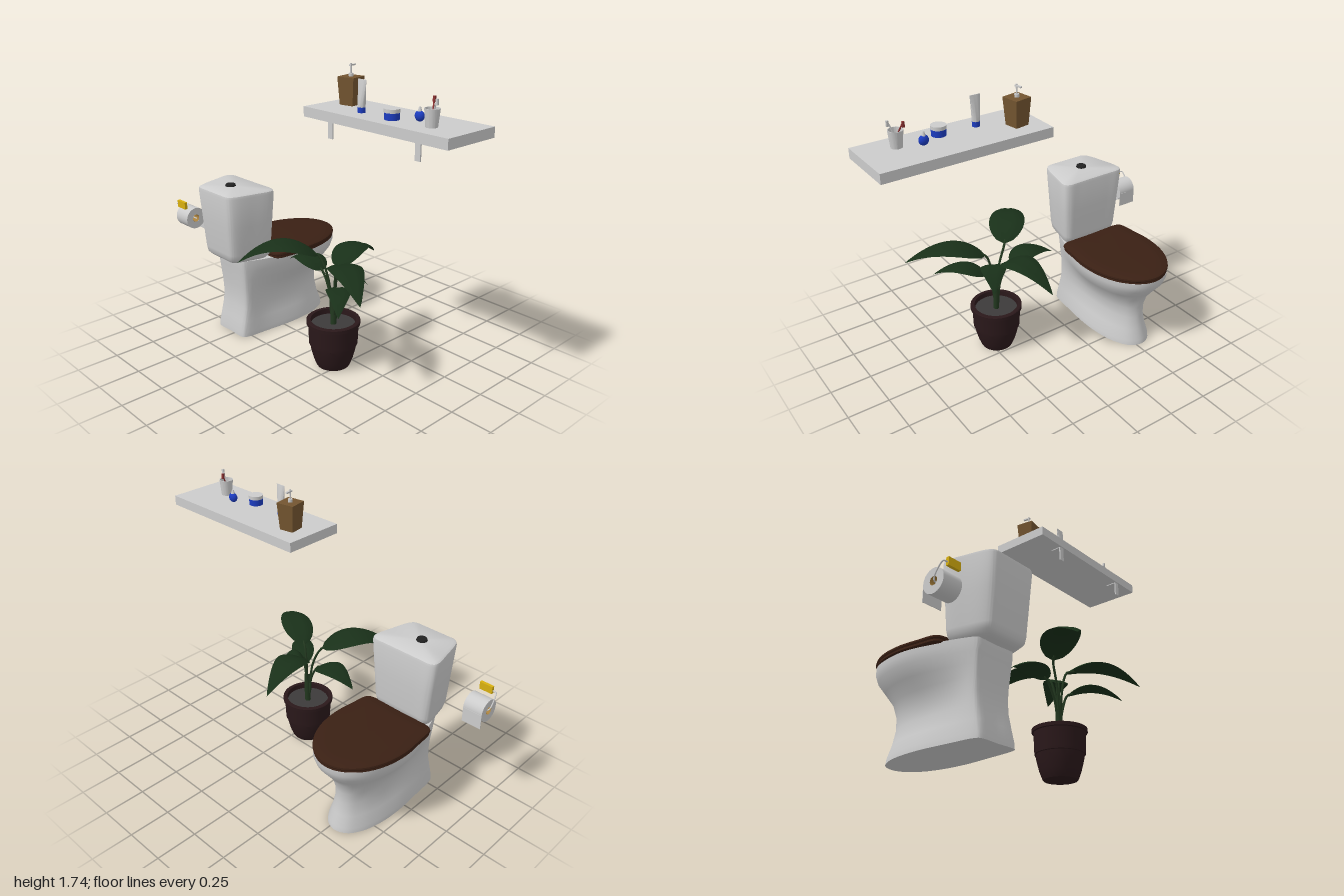
import * as THREE from 'three';
import { toCreasedNormals } from 'three/addons/utils/BufferGeometryUtils.js';

const V = (x, y, z) => new THREE.Vector3(x, y, z);
const mat = (color, side = THREE.FrontSide) => new THREE.MeshStandardMaterial({ color, side });
const GREY = mat(0xcccccc), GREY2 = mat(0xcccccc, THREE.DoubleSide), LID = mat(0x3a2014);
const POT = mat(0x2a181a), SOIL = mat(0x3c3a3a), LEAF = mat(0x193019, THREE.DoubleSide), STEM = mat(0x22381f);
const WOOD = mat(0x735530), BLUE = mat(0x1c3cc0), YELLOW = mat(0xd8b010), DARK = mat(0x222222);
const RED = mat(0x8a3030), CARD = mat(0xa8803c, THREE.DoubleSide);

function add(parent, name, geo, material, x = 0, y = 0, z = 0) {
  const m = new THREE.Mesh(geo, material);
  m.name = name;
  m.position.set(x, y, z);
  parent.add(m);
  return m;
}
const box = (w, h, d) => new THREE.BoxGeometry(w, h, d);
const cyl = (rt, rb, h, n = 32) => new THREE.CylinderGeometry(rt, rb, h, n);
const tube = (pts, r, n = 16) => new THREE.TubeGeometry(new THREE.CatmullRomCurve3(pts), n, r, 8);
const lathe = (pts) => toCreasedNormals(
  new THREE.LatheGeometry(pts.map(([r, y]) => new THREE.Vector2(r, y)), 40), 0.6);

// Closed skin over stacked loops, each running counter-clockwise seen from above
function loft(rows, crease = 0.7) {
  const centre = (row) => {
    const c = row.reduce((s, p) => s.add(p), V(0, 0, 0)).divideScalar(row.length);
    return row.map(() => c);
  };
  const all = [centre(rows[0]), ...rows, centre(rows[rows.length - 1])];
  const pos = [], tri = (a, b, c) => {
    if (a.distanceTo(b) > 1e-6 && b.distanceTo(c) > 1e-6 && a.distanceTo(c) > 1e-6)
      for (const p of [a, b, c]) pos.push(p.x, p.y, p.z);
  };
  for (let i = 0; i < all.length - 1; i++)
    for (let j = 0, n = rows[0].length; j < n; j++) {
      const k = (j + 1) % n, a = all[i][j], b = all[i][k], c = all[i + 1][k], d = all[i + 1][j];
      tri(a, b, c);
      tri(a, c, d);
    }
  const g = new THREE.BufferGeometry();
  g.setAttribute('position', new THREE.Float32BufferAttribute(pos, 3));
  return toCreasedNormals(g, crease);
}

// Mirrored smooth loop from half a plan, listed front to back as [x, half width]
function loop(half, y) {
  const pts = half.map(([x, w]) => V(x, y, -w));
  for (let i = half.length - 2; i > 0; i--) pts.push(V(half[i][0], y, half[i][1]));
  return new THREE.CatmullRomCurve3(pts, true).getPoints(80).slice(0, 80);
}

// Plan with a blunt back and an oval front
function oval(y, xb, xf, wb, wm, e = 1) {
  const xm = (xb + xf) / 2 + (e === 1 ? -0.06 : 0), half = [];
  for (let a = 0; a <= 90; a += 22.5) {
    const t = THREE.MathUtils.degToRad(a);
    half.push([xm + (xf - xm) * Math.max(0, Math.cos(t)) ** e, wm * Math.sin(t) ** e]);
  }
  half.push([(xm + xb) / 2, wm * 0.6 + wb * 0.4], [xb + 0.02, wb], [xb, wb * 0.88], [xb, 0]);
  return loop(half, y);
}

function makeToilet() {
  const g = new THREE.Group();
  g.name = 'toilet';
  g.position.z = -0.535;
  const bowl = [
    [0, -0.305, 0.43, 0.135, 0.165], [0.03, -0.303, 0.425, 0.135, 0.163], [0.1, -0.288, 0.4, 0.13, 0.142],
    [0.18, -0.272, 0.386, 0.125, 0.123], [0.25, -0.267, 0.384, 0.125, 0.129], [0.32, -0.27, 0.402, 0.128, 0.157],
    [0.38, -0.275, 0.445, 0.133, 0.2], [0.44, -0.28, 0.492, 0.138, 0.235], [0.48, -0.285, 0.508, 0.14, 0.245],
    [0.512, -0.285, 0.508, 0.14, 0.247]];
  add(g, 'bowl', loft(bowl.map((r) => oval(...r, 0.9))), GREY);

  // Seat ring below, domed lid above
  const plate = (d, y) => oval(y, -0.112 + d, 0.515 - d, 0.235 - d, 0.26 - d);
  add(g, 'seat', loft([plate(0.012, 0.505), plate(0.004, 0.511), plate(0.006, 0.523)]), LID);
  add(g, 'lid', loft([plate(0.004, 0.523), plate(0, 0.53), plate(0.002, 0.54), plate(0.015, 0.547),
    plate(0.08, 0.55)]), LID);

  // Tapering tank, wider at its front
  const tank = [[0.508, 0.045], [0.515, 0.02], [0.535, 0.004], [0.57, 0], [0.75, 0], [0.935, 0], [0.95, 0.004], [0.958, 0.016]];
  add(g, 'tank', loft(tank.map(([y, d]) => {
    const f = (y - 0.51) / 0.448, L = (a, b) => a + (b - a) * f;
    const xb = L(-0.372, -0.405) + d, xf = L(-0.107, -0.092) - d, wf = L(0.187, 0.222) - d, wb = L(0.145, 0.168) - d;
    return loop([[xf, 0], [xf, wf * 0.5], [xf - 0.002, wf * 0.88], [xf - 0.025, wf], [(xf + xb) / 2, wf * 0.56 + wb * 0.46],
      [xb + 0.03, wb], [xb + 0.004, wb * 0.85], [xb, wb * 0.45], [xb, 0]], y);
  })), GREY);
  add(g, 'flushButton', cyl(0.028, 0.033, 0.014), DARK, -0.255, 0.963, -0.015);
  return g;
}

// Drooping blade along a curve, folded slightly along its midrib
function leafGeometry(base, mid, tip, width) {
  const ctrl = mid.clone().multiplyScalar(2).sub(base.clone().add(tip).multiplyScalar(0.5));
  const curve = new THREE.QuadraticBezierCurve3(base, ctrl, tip);
  const side = V(-(tip.z - base.z), 0, tip.x - base.x).normalize();
  const g = new THREE.PlaneGeometry(1, 1, 6, 18), p = g.attributes.position;
  for (let i = 0; i < p.count; i++) {
    const u = p.getX(i) * 2, t = p.getY(i) + 0.5;
    const w = width * Math.sin(Math.PI * t ** 0.72) ** 0.85 * (1 - 0.15 * t);
    const q = curve.getPoint(t).addScaledVector(side, u * (w || 0));
    p.setXYZ(i, q.x, q.y + (Math.abs(u) * 0.25 - u * u * 0.4) * (w || 0), q.z);
  }
  g.computeVertexNormals();
  return g;
}

function makePlant() {
  const g = new THREE.Group();
  g.name = 'pottedPlant';
  const cx = -0.107, cz = 0.2;
  add(g, 'pot', lathe([[0, 0], [0.095, 0], [0.101, 0.01], [0.116, 0.05], [0.129, 0.1], [0.137, 0.14], [0.142, 0.143],
    [0.143, 0.16], [0.147, 0.266], [0.157, 0.268], [0.157, 0.288], [0.153, 0.291], [0.132, 0.291], [0.129, 0.25]]), POT, cx, 0, cz);
  add(g, 'soil', cyl(0.133, 0.133, 0.02), SOIL, cx, 0.25, cz);
  add(g, 'stem', tube([V(cx, 0.25, cz), V(cx + 0.005, 0.36, cz), V(cx, 0.46, cz + 0.005)], 0.018), STEM);
  const leaves = [ // blade base, middle, tip, half width
    [V(-0.14, 0.67, 0.11), V(-0.32, 0.755, -0.03), V(-0.515, 0.645, -0.16), 0.115],
    [V(-0.10, 0.56, 0.10), V(-0.09, 0.615, -0.04), V(-0.085, 0.54, -0.2), 0.09],
    [V(-0.13, 0.64, 0.25), V(-0.24, 0.715, 0.45), V(-0.365, 0.615, 0.665), 0.1],
    [V(-0.06, 0.59, 0.18), V(0.12, 0.68, 0.14), V(0.338, 0.56, 0.095), 0.1],
    [V(-0.13, 0.5, 0.25), V(-0.23, 0.56, 0.37), V(-0.35, 0.48, 0.49), 0.075],
    [V(-0.09, 0.58, 0.22), V(-0.03, 0.6, 0.26), V(0.06, 0.49, 0.31), 0.08]];
  leaves.forEach(([b, m, t, w], i) => {
    const foot = V(cx + (b.x - cx) * 0.15, 0.32, cz + (b.z - cz) * 0.15);
    const bend = V(cx + (b.x - cx) * 0.35, b.y * 0.8, cz + (b.z - cz) * 0.35);
    add(g, 'leafStalk' + (i + 1), tube([foot, bend, b, b.clone().lerp(m, 0.2)], 0.007), STEM);
    add(g, 'leaf' + (i + 1), leafGeometry(b, m, t, w), LEAF);
  });
  return g;
}

function makeShelf() {
  const g = new THREE.Group();
  g.name = 'shelf';
  add(g, 'board', box(0.36, 0.056, 0.99), GREY, 0.025, 1.488, 0.505);
  for (const z of [0.21, 0.815]) {
    add(g, 'bracketUpright', box(0.008, 0.09, 0.034), GREY, -0.143, 1.415, z);
    add(g, 'bracketArm', box(0.07, 0.006, 0.034), GREY, -0.112, 1.458, z);
  }
  const top = 1.515;

  // Pump dispenser with a square flaring body
  const soap = new THREE.Group();
  soap.name = 'soapDispenser';
  soap.position.set(0.067, top, 0.147);
  soap.rotation.y = 0.17;
  const body = cyl(0.075, 0.06, 0.155, 4).toNonIndexed();
  body.rotateY(Math.PI / 4);
  body.computeVertexNormals();
  add(soap, 'dispenserBody', body, WOOD, 0, 0.0775, 0);
  add(soap, 'pumpCollar', cyl(0.013, 0.013, 0.018, 16), GREY, 0, 0.163, 0);
  add(soap, 'pumpStem', cyl(0.005, 0.005, 0.06, 12), GREY, 0, 0.195, 0);
  add(soap, 'pumpNozzle', box(0.046, 0.008, 0.012), GREY, 0.012, 0.215, 0);
  g.add(soap);

  // Squeeze tube: round at the cap, flat at the crimp
  add(g, 'tubeCap', cyl(0.021, 0.021, 0.03), BLUE, -0.04, top + 0.015, 0.335);
  add(g, 'squeezeTube', loft([[0.03, 0.021, 0.021], [0.06, 0.02, 0.023], [0.165, 0.004, 0.031], [0.175, 0.002, 0.031]].map(
    ([y, a, b]) => Array.from({ length: 24 }, (_, i) => {
      const t = i / 24 * Math.PI * 2;
      return V(Math.cos(t) * a, y, -Math.sin(t) * b);
    }))), GREY, -0.04, top, 0.335);

  add(g, 'jar', cyl(0.04, 0.04, 0.038), BLUE, -0.045, top + 0.019, 0.553);
  add(g, 'jarLid', cyl(0.042, 0.042, 0.02), GREY, -0.045, top + 0.048, 0.553);

  const flask = add(g, 'smallBottle', new THREE.SphereGeometry(0.028, 24, 16), BLUE, 0.025, top + 0.028, 0.675);
  flask.scale.x = 0.75;
  add(g, 'smallBottleCap', cyl(0.005, 0.012, 0.024, 16), GREY, 0.025, top + 0.063, 0.675);

  const cx = -0.03, cz = 0.798;
  add(g, 'cup', lathe([[0, 0], [0.031, 0], [0.04, 0.094], [0.036, 0.094], [0.028, 0.008], [0, 0.008]]), GREY2, cx, top, cz);
  for (const [dx, dz, m] of [[-0.01, 0.035, GREY], [0.045, -0.025, RED]]) {
    const foot = V(cx - dx * 0.4, top + 0.012, cz - dz * 0.4), end = V(cx + dx, top + 0.145, cz + dz);
    add(g, 'toothbrushHandle', tube([foot, foot.clone().lerp(end, 0.5), end], 0.004, 4), m);
    add(g, 'toothbrushHead', box(0.012, 0.03, 0.012), m, end.x - dx * 0.05, end.y - 0.015, end.z);
  }
  return g;
}

function makePaperHolder() {
  const g = new THREE.Group();
  g.name = 'paperHolder';
  const x = -0.302, y = 0.675, z = -0.933;
  // Hollow roll lying along z, with a hanging sheet
  const roll = lathe([[0.024, -0.06], [0.068, -0.06], [0.068, 0.06], [0.024, 0.06], [0.024, -0.06]]);
  add(g, 'paperRoll', roll, GREY2, x, y, z).rotation.x = Math.PI / 2;
  add(g, 'rollCore', new THREE.CylinderGeometry(0.0235, 0.0235, 0.121, 24, 1, true), CARD, x, y, z).rotation.x = Math.PI / 2;
  add(g, 'hangingSheet', box(0.003, 0.09, 0.12), GREY, x + 0.067, y - 0.045, z);
  add(g, 'wallPlate', box(0.018, 0.045, 0.08), YELLOW, -0.363, 0.768, -0.927);
  add(g, 'holderArm', tube([V(-0.363, 0.762, -0.95), V(-0.36, 0.762, -0.99), V(-0.345, 0.745, -0.996),
    V(-0.31, 0.69, -0.996), V(x, y, -0.985), V(x, y, -0.93), V(x, y, -0.862)], 0.004, 40), GREY);
  return g;
}

export function createModel() {
  const model = new THREE.Group();
  model.name = 'bathroomSet';
  model.add(makeToilet(), makePlant(), makeShelf(), makePaperHolder());
  return model;
}
